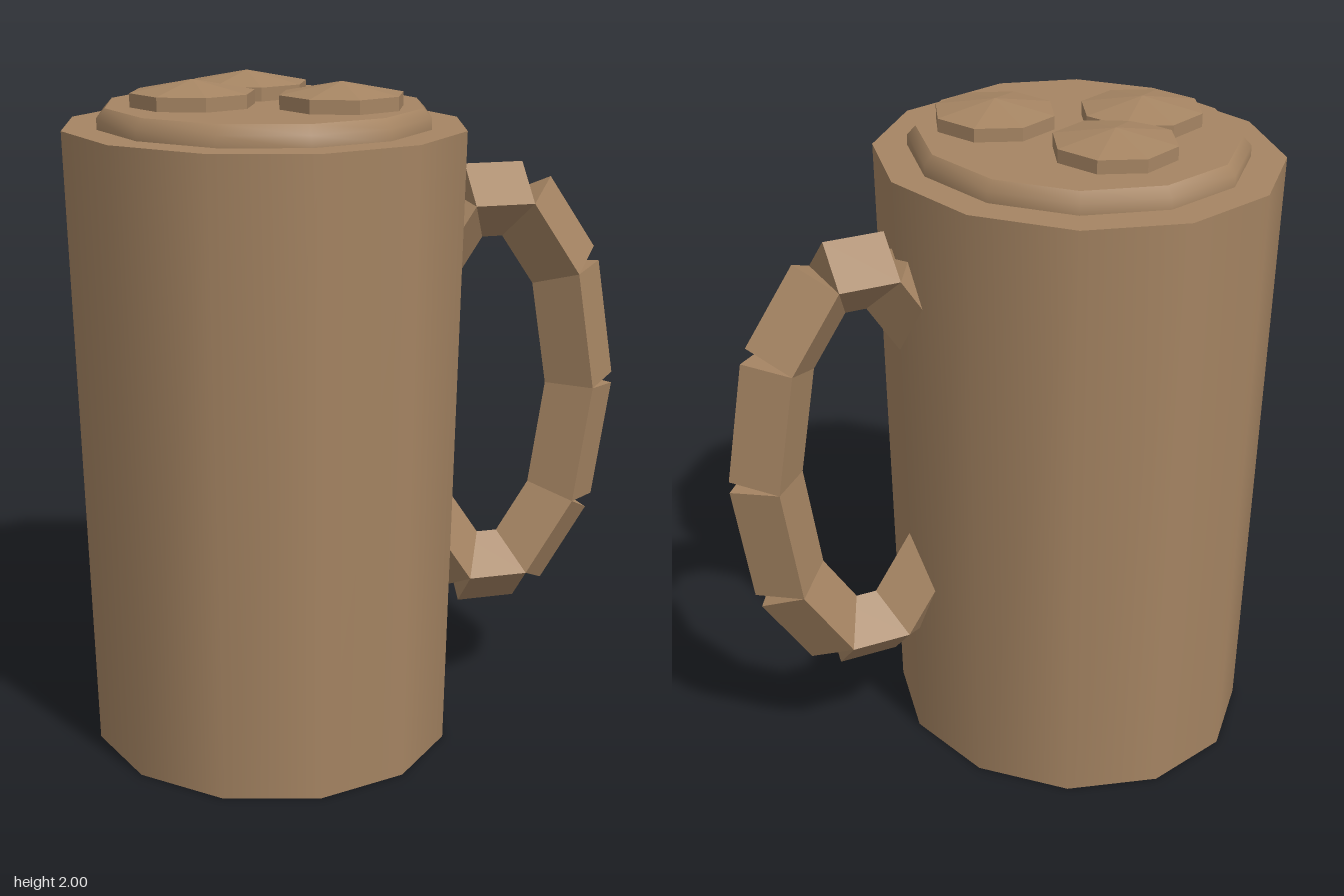
import * as THREE from 'three';

export function createModel() {
  const model = new THREE.Group();
  const smooth = new THREE.MeshStandardMaterial({ color: 0xa68563 });
  smooth.name = 'brown';
  const faceted = (g) => {
    const flat = g.toNonIndexed();
    flat.computeVertexNormals();
    return flat;
  };
  const add = (parent, name, geometry, x = 0, y = 0, z = 0) => {
    const mesh = new THREE.Mesh(geometry, smooth);
    mesh.name = name;
    mesh.position.set(x, y, z);
    parent.add(mesh);
    return mesh;
  };

  // Tapered twelve-sided mug, slightly narrower across x
  const vessel = new THREE.Group();
  vessel.name = 'vessel';
  vessel.position.x = -0.265;
  vessel.scale.x = 0.922;
  model.add(vessel);
  add(vessel, 'body', new THREE.CylinderGeometry(0.64, 0.587, 1.865, 12), 0, 0.9325, 0);

  // Surface of the drink: raised disc with a softened rim
  const rim = [[0.53, 1.86], [0.53, 1.898], [0.503, 1.925]].map((p) => new THREE.Vector2(...p));
  add(vessel, 'foamRim', new THREE.LatheGeometry(rim, 12));
  const disc = new THREE.CircleGeometry(0.503, 12);
  disc.rotateX(-Math.PI / 2);
  add(vessel, 'foamTop', disc, 0, 1.925, 0);

  // Three flattened octagonal blobs floating on top
  for (const [x, z] of [[-0.265, -0.215], [-0.475, 0], [-0.08, 0.17]]) {
    const blob = new THREE.Group();
    blob.name = 'blob';
    blob.position.set(x, 1.93, z);
    model.add(blob);
    const shell = new THREE.SphereGeometry(0.211, 8, 3);
    shell.scale(1, 0.07 / 0.211, 1);
    add(blob, 'blobShell', faceted(shell));
  }

  // Handle: separate square bars, edge outward, along an oval ring
  const handle = new THREE.Group();
  handle.name = 'handle';
  model.add(handle);
  const ring = (k) => {
    const a = (k * Math.PI) / 5;
    return new THREE.Vector3(0.445 + 0.3 * Math.cos(a), 1.023 + 0.618 * Math.sin(a), 0);
  };
  for (let k = -4; k < 4; k++) {
    const a = ring(k), b = ring(k + 1);
    const dir = b.clone().sub(a);
    const bar = add(handle, 'handleSegment', faceted(new THREE.CylinderGeometry(0.113, 0.113, dir.length(), 4)));
    bar.position.copy(a).add(b).multiplyScalar(0.5);
    bar.rotation.z = Math.atan2(dir.y, dir.x) - Math.PI / 2;
  }

  return model;
}
